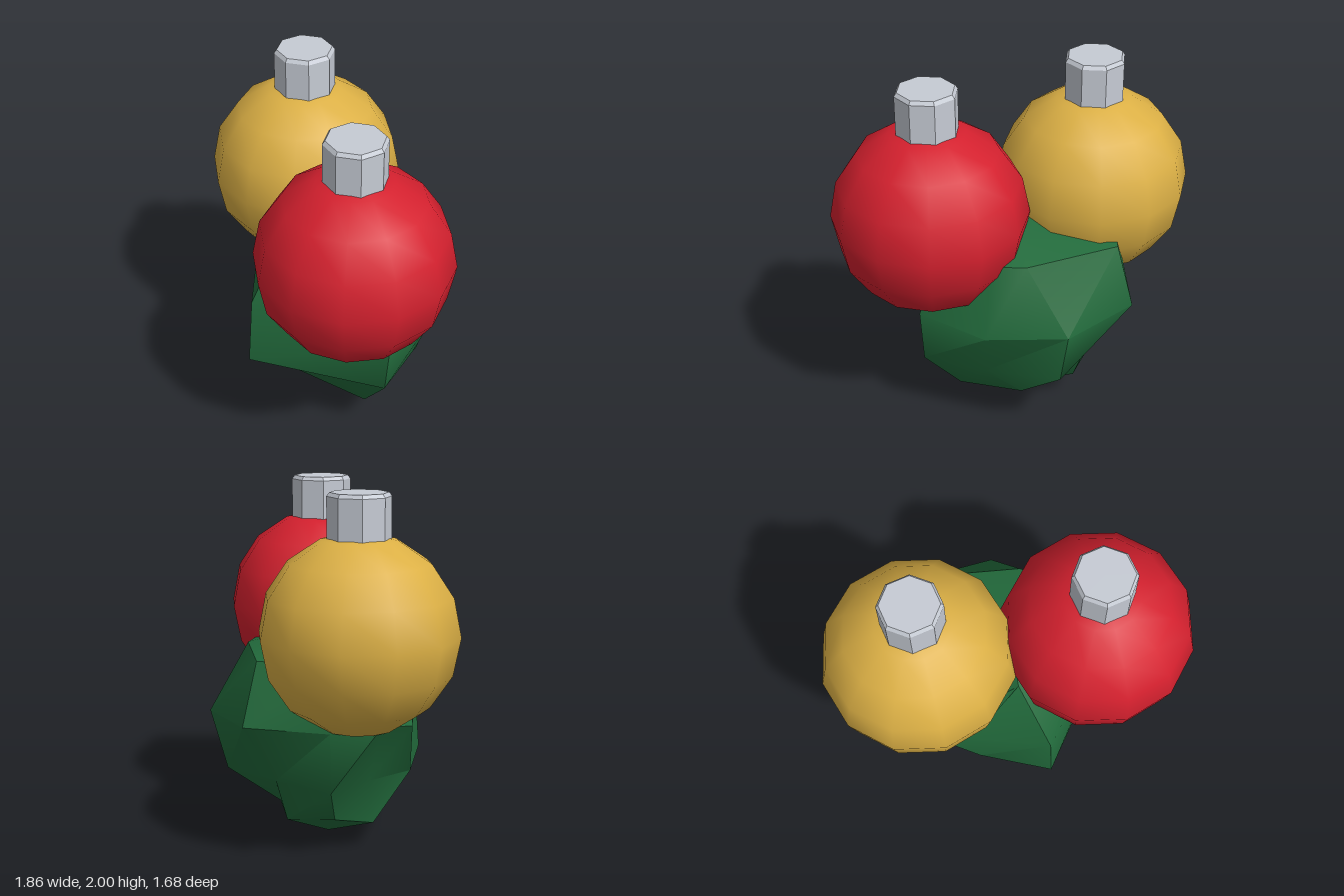
import * as THREE from 'three';
import { toCreasedNormals } from 'three/addons/utils/BufferGeometryUtils.js';

const mat = (name, color, flatShading = false) => {
  const m = new THREE.MeshStandardMaterial({ color, flatShading });
  m.name = name;
  return m;
};

// Closed skin over rings of points, with a pole at each end
function skin(bottom, rings, top) {
  const pos = [];
  const tri = (...pts) => pts.forEach((p) => pos.push(...p));
  const n = rings[0].length;
  const last = rings[rings.length - 1];
  for (let i = 0; i < n; i++) {
    const j = (i + 1) % n;
    tri(bottom, rings[0][j], rings[0][i]);
    for (let k = 0; k < rings.length - 1; k++) {
      const lo = rings[k], hi = rings[k + 1];
      tri(lo[i], lo[j], hi[j]);
      tri(lo[i], hi[j], hi[i]);
    }
    tri(last[i], last[j], top);
  }
  const g = new THREE.BufferGeometry();
  g.setAttribute('position', new THREE.Float32BufferAttribute(pos, 3));
  return toCreasedNormals(g, 0.7);
}

export function createModel() {
  const model = new THREE.Group();
  const red = mat('red', 0xd4202e);
  const gold = mat('gold', 0xdcb045);
  const green = mat('green', 0x226b3c);
  const silver = mat('silver', 0xc6cbd4, true);

  // Baubles with eight-sided, slightly bevelled caps
  const ballGeo = new THREE.SphereGeometry(0.54, 12, 8);
  const capGeo = new THREE.LatheGeometry(
    [[0, 0.48], [0.17, 0.48], [0.17, 0.725], [0.155, 0.745], [0, 0.745]].map((p) => new THREE.Vector2(...p)), 8);
  for (const [side, name, material] of [[1, 'red', red], [-1, 'gold', gold]]) {
    const bauble = new THREE.Group();
    bauble.name = name + 'Bauble';
    const ball = new THREE.Mesh(ballGeo, material);
    ball.name = name + 'Ball';
    const cap = new THREE.Mesh(capGeo, silver);
    cap.name = name + 'BaubleCap';
    bauble.add(ball, cap);
    bauble.position.set(0.39 * side, 1.255, 0.3 * side);
    model.add(bauble);
  }

  // Crumpled foliage: eight columns from the front round by +x, four rings upward
  const rings = [
    [[-0.07, 0.19, 0.22], [0.37, 0.14, 0.15], [0.44, 0.28, -0.28], [0.2, 0.2, -0.28],
      [0.03, 0.16, -0.41], [-0.25, 0.2, -0.33], [-0.35, 0.15, -0.12], [-0.31, 0.3, 0]],
    [[-0.18, 0.42, 0.52], [0.58, 0.42, 0.26], [0.53, 0.42, -0.1], [0.4, 0.41, -0.5],
      [0.03, 0.41, -0.5], [-0.35, 0.41, -0.48], [-0.38, 0.42, -0.2], [-0.4, 0.4, 0.15]],
    [[-0.17, 0.82, 0.49], [0.61, 0.74, 0.26], [0.635, 0.72, -0.16], [0.46, 0.75, -0.57],
      [0.03, 0.765, -0.755], [-0.37, 0.75, -0.51], [-0.6, 0.8, -0.36], [-0.6, 0.75, -0.1]],
    [[-0.13, 1.2, 0.2], [0.45, 1.1, 0.2], [0.5, 1.1, -0.13], [0.42, 1.1, -0.3],
      [0.02, 1.11, -0.65], [-0.35, 1.1, -0.45], [-0.5, 1.1, -0.3], [-0.4, 0.98, 0.17]],
  ];
  const foliage = new THREE.Mesh(skin([0.03, 0, -0.06], rings, [0.02, 1.25, 0]), green);
  foliage.name = 'foliage';
  model.add(foliage);
  return model;
}
